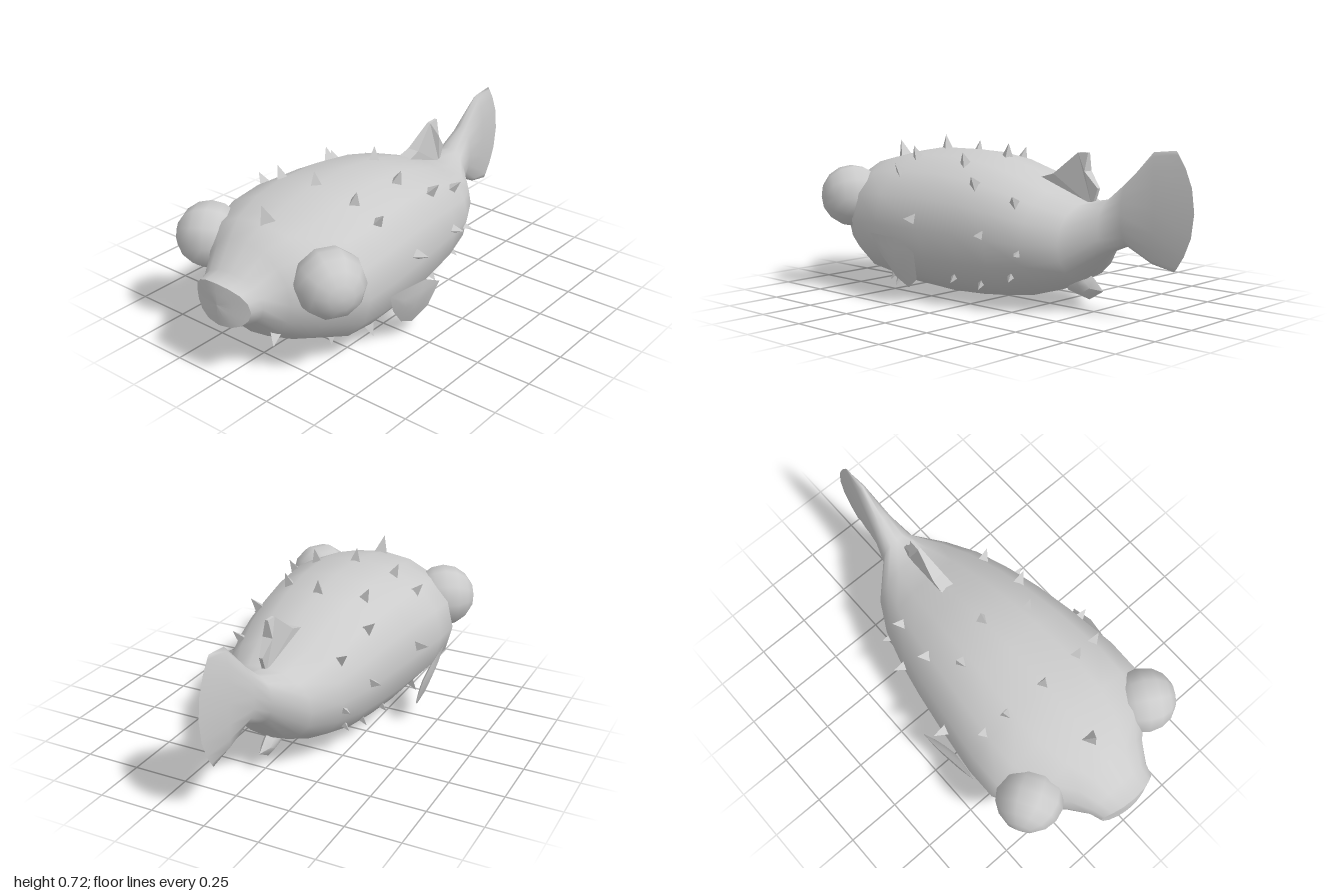
import * as THREE from 'three';
import { toCreasedNormals } from 'three/addons/utils/BufferGeometryUtils.js';

const SEG = 16;
// Body stations, mouth to tail: z, bottom, top, half width, backward bend at mid height
const STATIONS = [
  [0.995, 0.26, 0.45, 0.15, 0.035], [0.91, 0.25, 0.46, 0.168, 0],
  [0.82, 0.145, 0.555, 0.23, 0], [0.72, 0.095, 0.605, 0.345, 0],
  [0.57, 0.04, 0.64, 0.435, 0], [0.42, 0.02, 0.665, 0.435, 0],
  [0.18, 0.005, 0.668, 0.402, 0], [0, 0.012, 0.645, 0.372, 0],
  [-0.16, 0.03, 0.602, 0.338, 0], [-0.33, 0.08, 0.535, 0.288, 0],
  [-0.47, 0.145, 0.48, 0.212, 0], [-0.585, 0.27, 0.5, 0.09, 0],
  [-0.68, 0.31, 0.585, 0.06, 0], [-0.8, 0.25, 0.71, 0.034, 0.03],
  [-0.91, 0.23, 0.722, 0, 0.09],
];

function ringPoint([z, lo, hi, w, bend], a) {
  const c = Math.cos(a), s = Math.sin(a);
  const soft = (v) => Math.sign(v) * Math.abs(v) ** 0.93;
  return new THREE.Vector3(w * soft(c), (lo + hi) / 2 + ((hi - lo) / 2) * soft(s), z - bend * c * c);
}

function stationAt(z) {
  let i = 0;
  while (i < STATIONS.length - 2 && STATIONS[i + 1][0] > z) i++;
  const a = STATIONS[i], b = STATIONS[i + 1], t = (a[0] - z) / (a[0] - b[0]);
  return a.map((v, k) => v + (b[k] - v) * t);
}

function buildGeometry(pos, index) {
  const g = new THREE.BufferGeometry();
  g.setAttribute('position', new THREE.Float32BufferAttribute(pos, 3));
  g.setIndex(index);
  g.computeVertexNormals();
  return g;
}

// Skin a list of rings that run from +z to -z
function loft(rings) {
  const pos = [], index = [];
  rings.forEach((r) => {
    for (let j = 0; j < SEG; j++) pos.push(...ringPoint(r, (j / SEG) * Math.PI * 2));
  });
  for (let i = 0; i < rings.length - 1; i++) {
    for (let j = 0; j < SEG; j++) {
      const a = i * SEG + j, b = i * SEG + ((j + 1) % SEG);
      index.push(a, a + SEG, b, b, a + SEG, b + SEG);
    }
  }
  return buildGeometry(pos, index);
}

// Lens-shaped fin from a [z, y] outline; centreX(z, y) bends its middle plane
function lensFin(outline, thick, centreX) {
  const n = outline.length, pos = [], index = [];
  const cz = outline.reduce((s, p) => s + p[0], 0) / n;
  const cy = outline.reduce((s, p) => s + p[1], 0) / n;
  const add = (z, y, dx) => pos.push(centreX(z, y) + dx, y, z);
  outline.forEach(([z, y]) => add(z, y, 0));
  for (const s of [1, -1]) {
    const base = pos.length / 3;
    outline.forEach(([z, y]) => add(cz + (z - cz) * 0.5, cy + (y - cy) * 0.5, s * thick * 0.8));
    add(cz, cy, s * thick);
    for (let i = 0; i < n; i++) {
      const j = (i + 1) % n;
      const tris = [[i, j, base + i], [j, base + j, base + i], [base + i, base + j, base + n]];
      tris.forEach(([a, b, c]) => index.push(...(s > 0 ? [a, b, c] : [a, c, b])));
    }
  }
  return toCreasedNormals(buildGeometry(pos, index), 0.9);
}

export function createModel() {
  const model = new THREE.Group();
  model.name = 'spinyFish';
  const mat = new THREE.MeshStandardMaterial({ color: 0xcccccc, side: THREE.DoubleSide });
  const flat = new THREE.MeshStandardMaterial({ color: 0xcccccc, flatShading: true });
  const add = (name, geometry, material = mat) => {
    const mesh = new THREE.Mesh(geometry, material);
    mesh.name = name;
    model.add(mesh);
    return mesh;
  };

  // Body with its tail fin, and the slightly domed mouth
  add('bodyAndTail', loft(STATIONS));
  add('mouth', loft([[1, 0.355, 0.355, 0, 0], [1, 0.3, 0.41, 0.08, 0.012], STATIONS[0]]));

  // Dorsal fin: a wedge, thick at the root and thinner towards the tip
  const dorsalShape = new THREE.Shape(
    [[0.2, 0.5], [0.22, 0.57], [0.29, 0.59], [0.41, 0.687], [0.465, 0.69], [0.46, 0.61], [0.52, 0.54], [0.49, 0.46]]
      .map(([z, y]) => new THREE.Vector2(z, y)));
  const dorsal = new THREE.ExtrudeGeometry(dorsalShape, { depth: 0.066, bevelEnabled: false });
  dorsal.translate(0, 0, -0.033).rotateY(Math.PI / 2);
  const dp = dorsal.attributes.position;
  for (let i = 0; i < dp.count; i++) {
    const rise = THREE.MathUtils.clamp((dp.getY(i) - 0.57) / 0.12, 0, 1);
    const back = dp.getZ(i) < -0.48 ? 0.25 : 1;
    dp.setX(i, dp.getX(i) * (1 - 0.8 * rise) * back);
  }
  dorsal.computeVertexNormals();
  add('dorsalFin', dorsal);

  // Anal fin
  add('analFin', lensFin(
    [[-0.3, 0.12], [-0.36, 0.08], [-0.475, 0.055], [-0.55, 0.1], [-0.5, 0.15], [-0.42, 0.2]], 0.03, () => 0));

  // Eyes and pectoral fins on both sides
  const pectoral = [[0.45, 0.3], [0.24, 0.3], [0.135, 0.245], [0.16, 0.12], [0.24, 0.068], [0.32, 0.105], [0.4, 0.2]];
  for (const [side, s] of [['left', 1], ['right', -1]]) {
    const eye = add(side + 'Eye', new THREE.SphereGeometry(0.148, 10, 8));
    eye.geometry.rotateX(Math.PI / 2);
    eye.rotation.y = s * 1.05;
    eye.position.set(s * 0.333, 0.44, 0.698);
    const outline = s > 0 ? pectoral : pectoral.map((p) => p);
    add(side + 'PectoralFin', lensFin(outline, 0.016,
      (z, y) => s * (0.48 - 0.125 * (z - 0.14) - 0.3 * (0.3 - y))));
  }

  // Spines: approximate x, y, z, size; each is snapped to the skin and points outwards
  const spines = [
    [0, 0.6, 0.7, 1.35], [0, 0.67, 0.4, 1], [0, 0.65, 0.01, 1],
    [0.195, 0.64, 0.39, 0.95], [0.32, 0.575, 0.38, 0.9], [0.175, 0.61, 0.09, 0.95],
    [0.26, 0.53, -0.05, 1], [0.225, 0.46, -0.26, 0.9], [0.4, 0.375, 0.215, 0.9],
    [0.34, 0.335, -0.145, 0.8], [0.29, 0.275, -0.315, 0.6], [0.25, 0.17, -0.25, 0.55],
    [0.31, 0.125, 0.05, 0.55], [0.28, 0.1, -0.08, 0.6], [0.31, 0.075, 0.41, 0.95],
    [0.21, 0.05, 0.555, 0.6], [0.16, 0.15, 0.82, 0.85],
  ];
  const cone = new THREE.ConeGeometry(0.034, 0.075, 3).translate(0, 0.022, 0);
  for (const [x, y, z, size] of spines) {
    const st = stationAt(z);
    const a = Math.atan2((y - (st[1] + st[2]) / 2) / (st[2] - st[1]) * 2, x / st[3]);
    const p = ringPoint(st, a);
    // Surface normal from the two tangents
    const around = ringPoint(st, a + 0.05).sub(ringPoint(st, a - 0.05));
    const along = ringPoint(stationAt(z - 0.05), a).sub(ringPoint(stationAt(z + 0.05), a));
    const up = along.cross(around).normalize();
    if (up.dot(new THREE.Vector3(p.x, p.y - 0.335, 0)) < 0) up.negate();
    const sideways = new THREE.Vector3().crossVectors(up, new THREE.Vector3(0, 0, 1)).normalize();
    const forward = new THREE.Vector3().crossVectors(sideways, up);
    const q = new THREE.Quaternion().setFromRotationMatrix(new THREE.Matrix4().makeBasis(sideways, up, forward));
    for (const s of x > 0 ? [1, -1] : [1]) {
      const spine = add('spine', cone, flat);
      spine.position.set(s * p.x, p.y, p.z);
      spine.quaternion.set(q.x, s * q.y, s * q.z, q.w);
      spine.scale.setScalar(size);
    }
  }
  return model;
}
